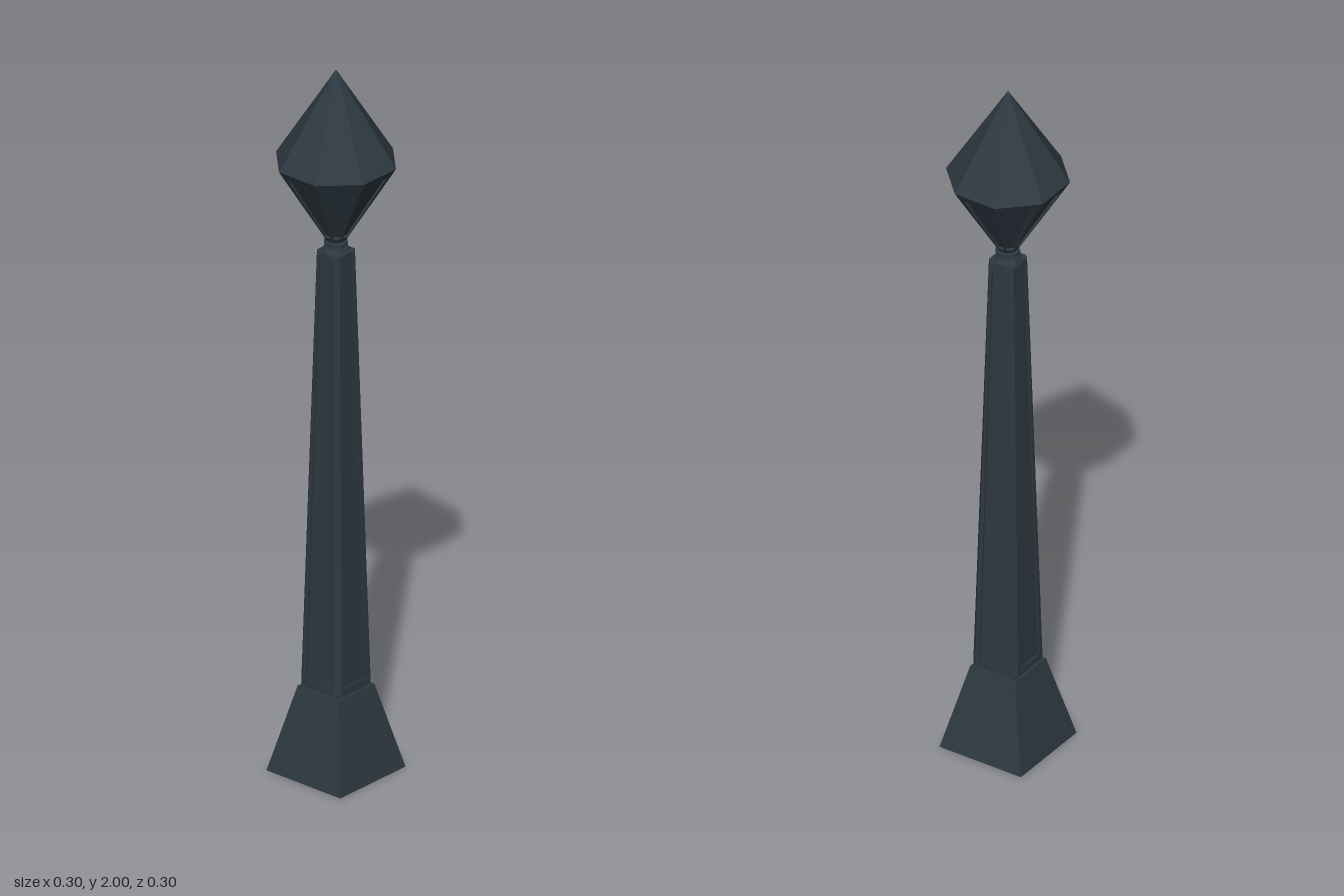
import * as THREE from 'three';

const slate = new THREE.MeshStandardMaterial({ color: 0x2e3941, flatShading: true });
slate.name = 'dark slate';

// Square of half width h with corners cut by c, anticlockwise seen from above
function ring(h, c, y) {
  const k = h - c;
  return [[h, -k], [h, k], [k, h], [-k, h], [-h, k], [-h, -k], [-k, -h], [k, -h]]
    .map(([x, z]) => new THREE.Vector3(x, y, -z));
}

// Tapered prism between two rings; chosen faces get a sunken panel
function panelledPrism(low, high, { hasPanel, inset, ends, depth }) {
  const pos = [];
  const quad = (a, b, c, d) => [a, b, c, a, c, d].forEach((p) => pos.push(p.x, p.y, p.z));
  const n = low.length;
  for (let i = 0; i < n; i++) {
    const j = (i + 1) % n;
    const outer = [low[i], low[j], high[j], high[i]];
    if (!hasPanel(i)) {
      quad(...outer);
      continue;
    }
    const at = (u, v) => low[i].clone().lerp(low[j], u).lerp(high[i].clone().lerp(high[j], u), v);
    const rim = [at(inset, ends[0]), at(1 - inset, ends[0]), at(1 - inset, ends[1]), at(inset, ends[1])];
    const normal = low[j].clone().sub(low[i]).cross(high[i].clone().sub(low[i])).normalize();
    const floor = rim.map((p) => p.clone().addScaledVector(normal, -depth));
    for (let k = 0; k < 4; k++) {
      const m = (k + 1) % 4;
      quad(outer[k], outer[m], rim[m], rim[k]);
      quad(rim[k], rim[m], floor[m], floor[k]);
    }
    quad(...floor);
  }
  // Close both ends
  for (let i = 1; i < n - 1; i++) {
    [high[0], high[i], high[i + 1], low[0], low[i + 1], low[i]].forEach((p) => pos.push(p.x, p.y, p.z));
  }
  const geometry = new THREE.BufferGeometry();
  geometry.setAttribute('position', new THREE.Float32BufferAttribute(pos, 3));
  geometry.computeVertexNormals();
  return geometry;
}

export function createModel() {
  const group = new THREE.Group();
  const add = (name, geometry, y = 0) => {
    const mesh = new THREE.Mesh(geometry, slate);
    mesh.name = name;
    mesh.position.y = y;
    group.add(mesh);
  };
  // Square or octagonal frustum with flat sides facing the axes
  const frustum = (topHalf, bottomHalf, height, sides) => {
    const s = 1 / Math.cos(Math.PI / sides);
    return new THREE.CylinderGeometry(topHalf * s, bottomHalf * s, height, sides).rotateY(Math.PI / sides);
  };

  // Flared square foot and the narrow joint above it
  add('foot', frustum(0.07, 0.127, 0.24, 4), 0.12);
  add('footJoint', frustum(0.063, 0.063, 0.02, 4), 0.245);

  // Tapering shaft with cut corners and four long sunken panels
  add('shaft', panelledPrism(ring(0.07, 0.014, 0.248), ring(0.039, 0.009, 1.484), {
    hasPanel: (i) => i % 2 === 0, inset: 0.12, ends: [0.015, 0.98], depth: 0.005,
  }));
  add('shaftCap', frustum(0.03, 0.036, 0.012, 8), 1.488);

  // Ringed neck
  add('neck', frustum(0.02, 0.02, 0.045, 8), 1.505);
  add('neckRing', frustum(0.03, 0.03, 0.012, 8), 1.506);

  // Faceted finial: panelled lower half and plain pointed upper half
  add('finialLower', panelledPrism(ring(0.024, 0.0141, 1.515), ring(0.151, 0.0885, 1.74), {
    hasPanel: () => true, inset: 0.13, ends: [0.06, 0.9], depth: 0.006,
  }));
  add('finialUpper', frustum(0, 0.151, 0.26, 8), 1.87);

  return group;
}
